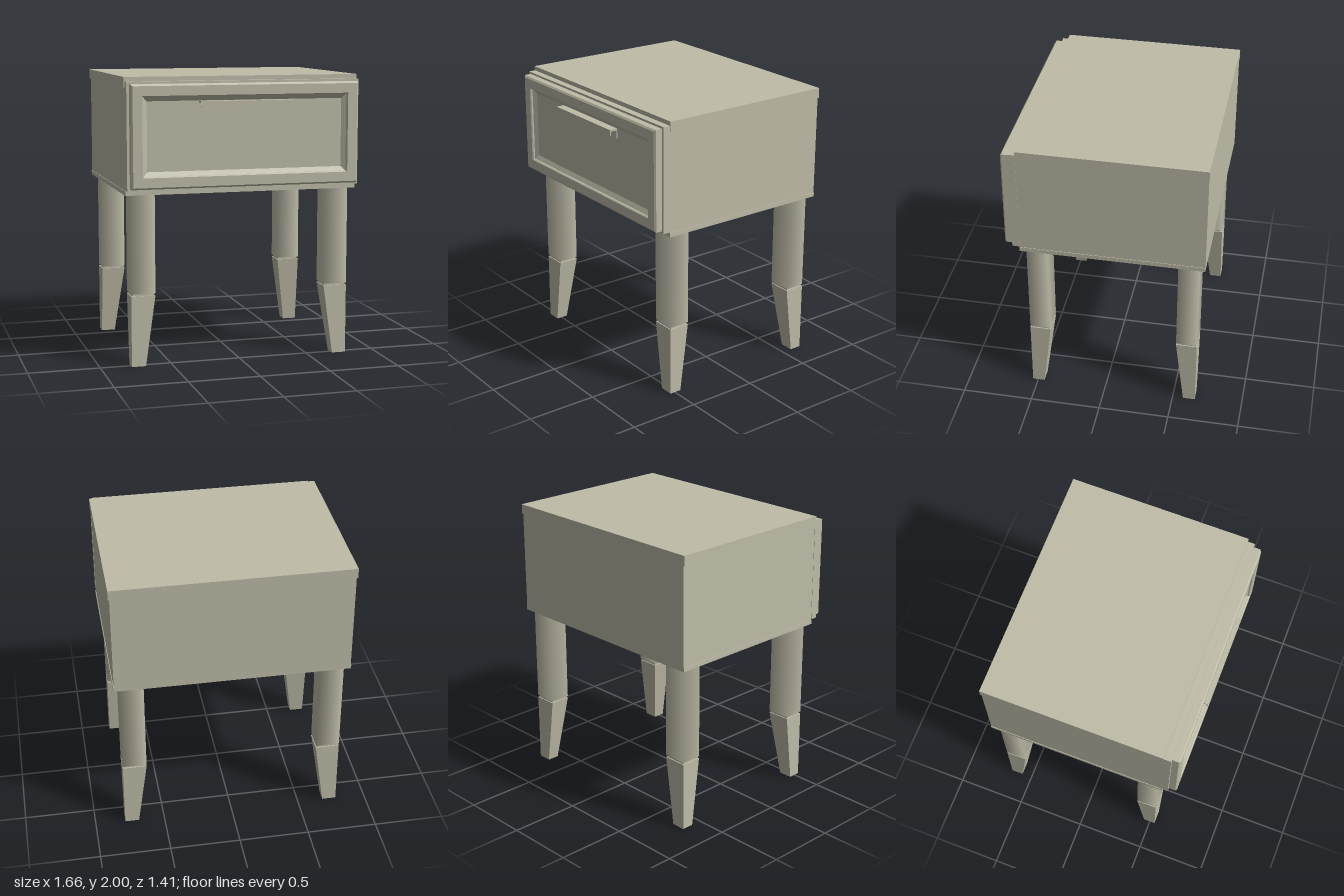
import * as THREE from 'three';

export function createModel() {
  const model = new THREE.Group();
  model.name = 'nightstand';
  const paint = new THREE.MeshStandardMaterial({ color: 0xbfbca8 });
  paint.name = 'warm grey paint';

  const add = (name, geometry, parent = model) => {
    const mesh = new THREE.Mesh(geometry, paint);
    mesh.name = name;
    parent.add(mesh);
    return mesh;
  };
  // Box given by its limits on each axis
  const box = (name, [x0, x1], [y0, y1], [z0, z1], parent) => {
    const mesh = add(name, new THREE.BoxGeometry(x1 - x0, y1 - y0, z1 - z0), parent);
    mesh.position.set((x0 + x1) / 2, (y0 + y1) / 2, (z0 + z1) / 2);
    return mesh;
  };

  // Cabinet
  box('top', [-0.83, 0.83], [1.93, 2], [-0.705, 0.575]);
  box('body', [-0.821, 0.821], [1.23, 1.93], [-0.702, 0.575]);
  box('base', [-0.825, 0.825], [1.2, 1.23], [-0.702, 0.575]);

  // Drawer: backing board, then a mitred frame and sunken panel from rectangular rings
  const drawer = new THREE.Group();
  drawer.name = 'drawer';
  model.add(drawer);
  box('drawerBoard', [-0.823, 0.823], [1.235, 1.97], [0.575, 0.625], drawer);
  const profile = [ // inset from the outer edge, z
    [0, 0.625], [0, 0.672], [0.012, 0.682], [0.078, 0.682],
    [0.085, 0.674], [0.085, 0.664], [0.115, 0.645],
  ];
  const rings = profile.map(([d, z]) => {
    const x = 0.805 - d, y0 = 1.25 + d, y1 = 1.955 - d;
    return [[-x, y0, z], [x, y0, z], [x, y1, z], [-x, y1, z]];
  });
  const points = [];
  const quad = (a, b, c, d) => points.push(...a, ...b, ...c, ...a, ...c, ...d);
  for (let i = 0; i < rings.length - 1; i++) {
    for (let k = 0; k < 4; k++) {
      const n = (k + 1) % 4;
      quad(rings[i][k], rings[i][n], rings[i + 1][n], rings[i + 1][k]);
    }
  }
  quad(...rings[rings.length - 1]);
  const front = new THREE.BufferGeometry();
  front.setAttribute('position', new THREE.Float32BufferAttribute(points, 3));
  front.computeVertexNormals();
  add('drawerFront', front, drawer);

  // Handle: back plate, ledge and a downturned lip
  const handle = new THREE.Group();
  handle.name = 'handle';
  drawer.add(handle);
  box('handlePlate', [-0.33, 0.33], [1.77, 1.838], [0.645, 0.652], handle);
  box('handleLedge', [-0.33, 0.33], [1.825, 1.838], [0.652, 0.697], handle);
  box('handleLip', [-0.33, 0.33], [1.797, 1.838], [0.697, 0.705], handle);

  // Legs: softly shaded square post, narrow neck, foot tapering on its inner sides
  for (const sx of [-1, 1]) {
    for (const sz of [-1, 1]) {
      const leg = new THREE.Group();
      leg.name = (sz > 0 ? 'front' : 'back') + (sx > 0 ? 'Left' : 'Right') + 'Leg';
      leg.position.set(sx * 0.7, 0, sz > 0 ? 0.465 : -0.588);
      model.add(leg);

      const post = new THREE.CylinderGeometry(Math.SQRT1_2, Math.SQRT1_2, 0.69, 4);
      post.rotateY(Math.PI / 4).scale(0.17, 1, 0.148);
      add('legPost', post, leg).position.y = 0.855;

      box('legNeck', [-0.077, 0.077], [0.485, 0.515], [-0.066, 0.066], leg);

      const foot = new THREE.BoxGeometry(0.17, 0.495, 0.148);
      foot.translate(0, 0.2475, 0);
      const p = foot.attributes.position;
      for (let i = 0; i < p.count; i++) {
        if (p.getY(i) > 0.1) continue;
        if (p.getX(i) * sx < 0) p.setX(i, p.getX(i) + sx * 0.07);
        if (p.getZ(i) * sz < 0) p.setZ(i, p.getZ(i) + sz * 0.062);
      }
      foot.computeVertexNormals();
      add('legFoot', foot, leg);
    }
  }
  return model;
}
